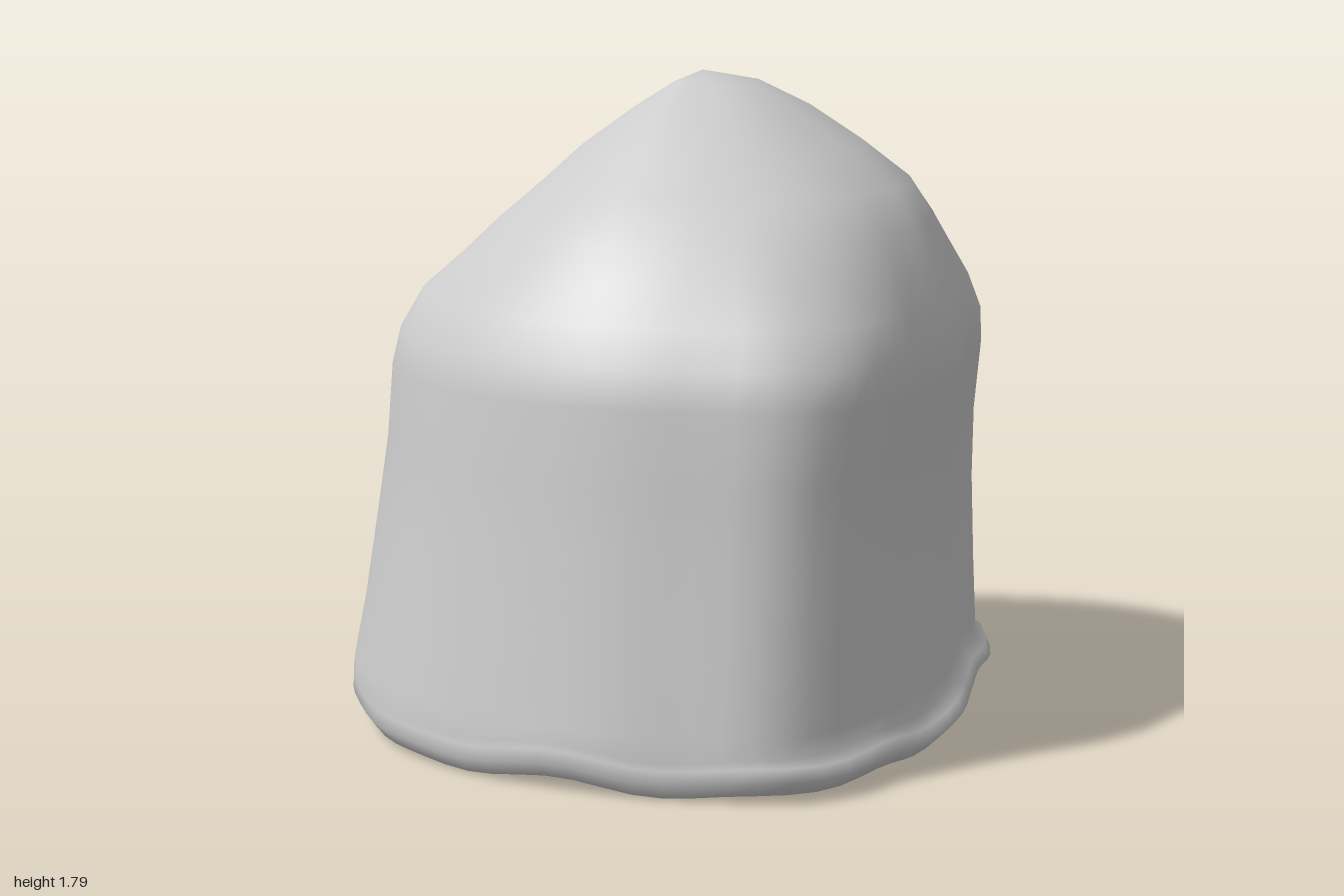
import * as THREE from 'three';

// Plan outline of the wall at its widest (x, z), going round the cap
const OUTLINE = [
  [0.88, 0.13], [0.85, -0.12], [0.82, -0.35], [0.8, -0.63], [0.74, -0.8], [0.6, -0.9],
  [0.4, -0.98], [0.2, -1], [0, -0.98], [-0.2, -0.95], [-0.42, -0.83], [-0.66, -0.58],
  [-0.82, -0.33], [-0.89, 0], [-0.86, 0.18], [-0.78, 0.43], [-0.55, 0.74], [-0.36, 0.87],
  [-0.1, 0.96], [0.13, 0.99], [0.35, 0.97], [0.58, 0.93], [0.72, 0.8], [0.8, 0.6], [0.84, 0.35],
];

// Levels from the curled inner lip to the crown: y, min x, max x, min z, max z
const LEVELS = [
  [0.13, -0.81, 0.77, -0.9, 0.92], [0.06, -0.8, 0.76, -0.89, 0.91],
  [0.03, -0.82, 0.79, -0.92, 0.94], [0.03, -0.86, 0.84, -0.96, 0.97],
  [0.07, -0.89, 0.88, -1, 1], [0.105, -0.89, 0.865, -0.99, 0.99],
  [0.125, -0.89, 0.83, -0.985, 0.99], [0.18, -0.885, 0.83, -0.975, 0.985],
  [0.35, -0.85, 0.825, -0.95, 0.96], [0.6, -0.81, 0.82, -0.92, 0.93],
  [0.8, -0.78, 0.825, -0.91, 0.905], [1, -0.765, 0.85, -0.88, 0.89],
  [1.1, -0.74, 0.855, -0.85, 0.87], [1.2, -0.68, 0.83, -0.81, 0.81],
  [1.3, -0.56, 0.79, -0.74, 0.75], [1.4, -0.45, 0.745, -0.66, 0.68],
  [1.5, -0.33, 0.68, -0.58, 0.56], [1.6, -0.22, 0.55, -0.46, 0.43],
  [1.7, -0.08, 0.4, -0.31, 0.3], [1.77, 0.03, 0.26, -0.16, 0.15],
];
const CENTRE_X = 0.1;
const SEGMENTS = 72;

function createShell() {
  const curve = new THREE.CatmullRomCurve3(
    OUTLINE.map(([x, z]) => new THREE.Vector3(x, 0, z)), true);
  const ring = curve.getSpacedPoints(SEGMENTS).slice(0, SEGMENTS);
  const positions = [];
  const indices = [];

  LEVELS.forEach(([y, minX, maxX, minZ, maxZ]) => {
    // Sections turn from the base outline into rounder ones near the crown
    const round = THREE.MathUtils.smoothstep(y, 1, 1.6) * 0.8;
    ring.forEach((p, i) => {
      let u = p.x - CENTRE_X;
      u /= u > 0 ? 0.78 : 0.99;
      let v = p.z;
      const k = THREE.MathUtils.lerp(1, 1 / Math.hypot(u, v), round);
      u *= k;
      v *= k;
      // Slightly uneven rim
      const a = (i / SEGMENTS) * Math.PI * 2;
      const wave = y < 0.15 ? 0.01 * Math.sin(a * 7) + 0.008 * Math.sin(a * 12 + 1) : 0;
      positions.push(
        CENTRE_X + u * (u > 0 ? maxX - CENTRE_X : CENTRE_X - minX),
        Math.max(0, y + wave),
        v * (v > 0 ? maxZ : -minZ));
    });
  });

  // Walls between neighbouring levels
  for (let r = 0; r < LEVELS.length - 1; r++) {
    for (let i = 0; i < SEGMENTS; i++) {
      const j = (i + 1) % SEGMENTS;
      const a = r * SEGMENTS + i, b = r * SEGMENTS + j;
      indices.push(a, b, b + SEGMENTS, a, b + SEGMENTS, a + SEGMENTS);
    }
  }

  // Crown tip
  const tip = positions.length / 3;
  positions.push(CENTRE_X, 1.8, 0);
  const last = (LEVELS.length - 1) * SEGMENTS;
  for (let i = 0; i < SEGMENTS; i++) {
    indices.push(last + i, last + ((i + 1) % SEGMENTS), tip);
  }

  const geometry = new THREE.BufferGeometry();
  geometry.setAttribute('position', new THREE.Float32BufferAttribute(positions, 3));
  geometry.setIndex(indices);
  geometry.computeVertexNormals();
  return geometry;
}

export function createModel() {
  const group = new THREE.Group();
  group.name = 'hollowCap';
  const shell = new THREE.Mesh(createShell(),
    new THREE.MeshStandardMaterial({ color: 0xcccccc, side: THREE.DoubleSide }));
  shell.name = 'domedShell';
  group.add(shell);
  return group;
}
